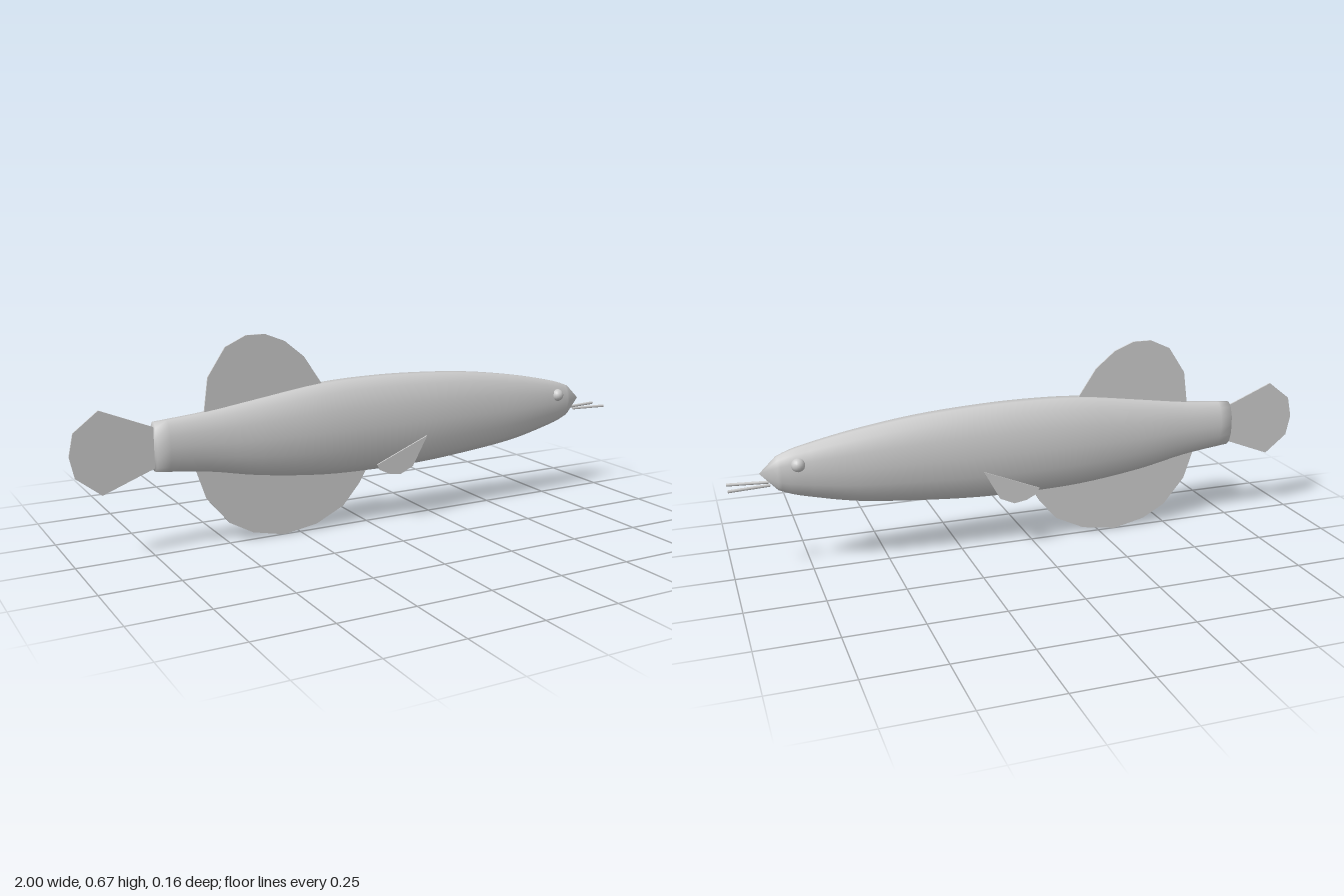
import * as THREE from 'three';

const material = new THREE.MeshStandardMaterial({ color: 0xcccccc });

function addMesh(group, name, geometry) {
  const mesh = new THREE.Mesh(geometry, material);
  mesh.name = name;
  group.add(mesh);
  return mesh;
}

// Elliptical 14-sided sections swept along x, closed at the tail and nose.
function bodyGeometry() {
  const SIDES = 14, RINGS = 40, FLATNESS = 0.46;
  // x, top y, bottom y
  const stations = [
    [-0.74, 0.425, 0.27], [-0.57, 0.44, 0.25], [-0.4, 0.464, 0.217], [-0.17, 0.495, 0.19],
    [0.03, 0.502, 0.184], [0.2, 0.498, 0.186], [0.4, 0.484, 0.2], [0.6, 0.456, 0.222],
    [0.74, 0.428, 0.252], [0.8, 0.413, 0.268], [0.845, 0.396, 0.286],
  ];
  const spine = new THREE.CatmullRomCurve3(stations.map((s) => new THREE.Vector3(...s)));
  const positions = [], index = [];
  for (let i = 0; i <= RINGS; i++) {
    const { x, y: top, z: bottom } = spine.getPoint(i / RINGS);
    const mid = (top + bottom) / 2;
    const half = (top - bottom) / 2 / Math.cos(Math.PI / SIDES);
    for (let j = 0; j < SIDES; j++) {
      const t = ((j + 0.5) / SIDES) * Math.PI * 2;
      positions.push(x, mid + half * Math.cos(t), half * FLATNESS * Math.sin(t));
    }
  }
  const tail = positions.length / 3, nose = tail + 1, last = RINGS * SIDES;
  positions.push(-0.74, 0.347, 0, 0.9, 0.345, 0);
  for (let j = 0; j < SIDES; j++) {
    const k = (j + 1) % SIDES;
    for (let i = 0; i < RINGS; i++) {
      const a = i * SIDES + j, b = i * SIDES + k;
      index.push(a, b, a + SIDES, b, b + SIDES, a + SIDES);
    }
    index.push(tail, k, j, last + j, last + k, nose);
  }
  const geometry = new THREE.BufferGeometry();
  geometry.setAttribute('position', new THREE.Float32BufferAttribute(positions, 3));
  geometry.setIndex(index);
  geometry.computeVertexNormals();
  return geometry;
}

// Thin plate in the xy plane, centred on z = 0.
function finGeometry(points) {
  const shape = new THREE.Shape(points.map(([x, y]) => new THREE.Vector2(x, y)));
  const depth = 0.005;
  return new THREE.ExtrudeGeometry(shape, { depth, bevelEnabled: false }).translate(0, 0, -depth / 2);
}

export function createModel() {
  const model = new THREE.Group();
  model.name = 'fish';

  addMesh(model, 'body', bodyGeometry());

  // Fins on the centre line
  addMesh(model, 'tailFin', finGeometry([
    [-0.7, 0.41], [-0.74, 0.41], [-0.906, 0.478], [-0.985, 0.417], [-1, 0.347],
    [-0.985, 0.278], [-0.906, 0.216], [-0.74, 0.28], [-0.7, 0.28],
  ]));
  addMesh(model, 'dorsalFin', finGeometry([
    [-0.57, 0.4], [-0.575, 0.44], [-0.56, 0.548], [-0.5, 0.638], [-0.43, 0.67], [-0.365, 0.67],
    [-0.297, 0.643], [-0.23, 0.588], [-0.168, 0.495], [-0.16, 0.4],
  ]));
  addMesh(model, 'analFin', finGeometry([
    [-0.6, 0.3], [-0.607, 0.254], [-0.575, 0.158], [-0.5, 0.068], [-0.42, 0.024], [-0.31, 0],
    [-0.19, 0.019], [-0.09, 0.067], [-0.03, 0.136], [0.003, 0.19], [0, 0.3],
  ]));

  // Paired parts on both flanks
  const pectoral = finGeometry([
    [0.193, 0.294], [0, 0.216], [0.01, 0.196], [0.045, 0.179], [0.088, 0.172], [0.137, 0.194],
  ]);
  const eye = new THREE.SphereGeometry(0.022, 16, 12);
  for (const [side, s] of [['Front', 1], ['Back', -1]]) {
    addMesh(model, 'pectoralFin' + side, pectoral).position.z = 0.077 * s;
    addMesh(model, 'eye' + side, eye).position.set(0.782, 0.37, 0.031 * s);
    const whisker = new THREE.LineCurve3(
      new THREE.Vector3(0.87, 0.309, 0.015 * s), new THREE.Vector3(1, 0.309, 0.032 * s));
    const barbel = addMesh(model, 'barbel' + side, new THREE.CylinderGeometry(0.005, 0.005, whisker.getLength(), 8));
    barbel.position.copy(whisker.getPoint(0.5));
    barbel.quaternion.setFromUnitVectors(new THREE.Vector3(0, 1, 0), whisker.getTangent(0));
  }
  return model;
}
